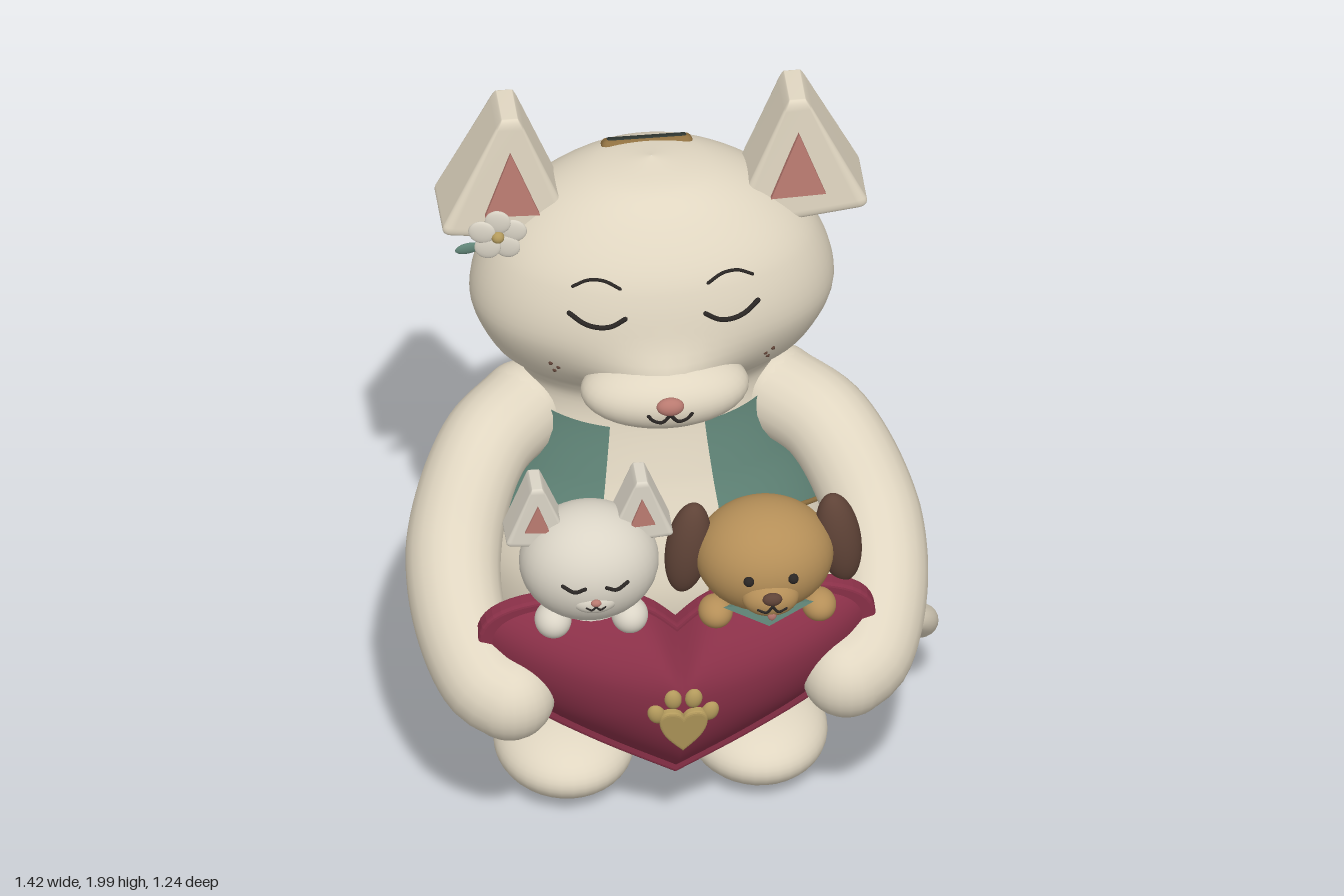
import * as THREE from 'three';
import { mergeVertices } from 'three/addons/utils/BufferGeometryUtils.js';
import { RoundedBoxGeometry } from 'three/addons/geometries/RoundedBoxGeometry.js';
import { ParametricGeometry } from 'three/addons/geometries/ParametricGeometry.js';

const CX = -0.033; // symmetry axis of the big figure
const mat = (color, side = THREE.FrontSide) => new THREE.MeshStandardMaterial({ color, side });
const CREAM = mat(0xe0d6c1), WHITE = mat(0xdad4c6), PINK = mat(0xb97a70), DARK = mat(0x2a2624);
const TEAL = mat(0x5f8376, THREE.DoubleSide), GOLD = mat(0xb39a5c), TRIM = mat(0x8f7040);
const RED = mat(0x8a3048), TAN = mat(0xb58f58), BROWN = mat(0x5f4337), SLOT = mat(0x323a34);
const V = (p) => new THREE.Vector3(...p);
const lerp = THREE.MathUtils.lerp;

function add(parent, name, geometry, material, pos = [0, 0, 0], rot = [0, 0, 0]) {
  const m = new THREE.Mesh(geometry, material);
  m.name = name;
  m.position.set(...pos);
  m.rotation.set(...rot);
  parent.add(m);
  return m;
}
function ball(parent, name, material, pos, r, rot, n = 24) {
  const [a, b, c] = Array.isArray(r) ? r : [r, r, r];
  return add(parent, name, new THREE.SphereGeometry(1, n * 1.5, n).scale(a, b, c), material, pos, rot);
}
// tube through points whose radius follows a list, with round ends
function limb(parent, name, material, pts, radii, seg = 40, sides = 20) {
  const curve = new THREE.CatmullRomCurve3(pts.map(V));
  const geo = new THREE.TubeGeometry(curve, seg, 1, sides);
  const p = geo.attributes.position, v = new THREE.Vector3();
  const radius = (t) => {
    const k = t * (radii.length - 1), i = Math.min(Math.floor(k), radii.length - 2);
    return i < 0 ? radii[0] : lerp(radii[i], radii[i + 1], k - i);
  };
  for (let i = 0; i < p.count; i++) {
    const t = Math.floor(i / (sides + 1)) / seg, c = curve.getPointAt(t);
    v.fromBufferAttribute(p, i).sub(c).multiplyScalar(radius(t)).add(c);
    p.setXYZ(i, v.x, v.y, v.z);
  }
  add(parent, name, geo, material);
  for (const t of [0, 1]) ball(parent, name + 'End', material, curve.getPointAt(t).toArray(), radius(t), [0, 0, 0], sides > 8 ? 16 : 6);
}
const line = (parent, name, material, pts, r) => limb(parent, name, material, pts, [r], 20, 8);

// body and head sections: y, half width, front z, back z
const SECTIONS = [
  [0.095, 0.0005, -0.1995, -0.2005], [0.115, 0.16, -0.08, -0.33], [0.2, 0.32, 0.01, -0.47], [0.35, 0.44, 0.095, -0.565],
  [0.55, 0.482, 0.135, -0.6], [0.7, 0.462, 0.11, -0.56], [0.9, 0.382, 0.03, -0.48], [1.08, 0.33, -0.015, -0.415],
  [1.17, 0.348, 0.01, -0.395], [1.27, 0.42, 0.11, -0.42], [1.42, 0.475, 0.185, -0.465], [1.58, 0.435, 0.16, -0.435],
  [1.7, 0.33, 0.085, -0.375], [1.78, 0.18, -0.01, -0.29], [1.81, 0.0005, -0.1495, -0.1505]];
const frontCurve = new THREE.CatmullRomCurve3(SECTIONS.map(([y, r, f]) => V([r, y, f])), false, 'catmullrom');
const backCurve = new THREE.CatmullRomCurve3(SECTIONS.map(([y, r, , b]) => V([r, y, b])), false, 'catmullrom');
function section(t) {
  const f = frontCurve.getPoint(t), b = backCurve.getPoint(t);
  return { y: f.y, rx: f.x, zc: (f.z + b.z) / 2, rz: (f.z - b.z) / 2 };
}
function sectionAt(y) {
  let a = 0, b = 1;
  for (let i = 0; i < 40; i++) { const m = (a + b) / 2; if (frontCurve.getPoint(m).y < y) a = m; else b = m; }
  return section(a);
}
// z of the body surface at x, y (dir 1 front, -1 back)
function surfaceZ(x, y, dir = 1, off = 0) {
  const s = sectionAt(y);
  return s.zc + dir * (s.rz + off) * Math.sqrt(Math.max(0, 1 - ((x - CX) / s.rx) ** 2));
}
const ellipsoidZ = ([cx, cy, cz], [a, b, c]) => (x, y) => cz + c * Math.sqrt(Math.max(0, 1 - ((x - cx) / a) ** 2 - ((y - cy) / b) ** 2));

// tapered block ear with a pink inlay; x values are distances from the axis
function ear(parent, material, axis, side, e) {
  const geo = new RoundedBoxGeometry(1, 1, 1, 4, 0.08);
  geo.deleteAttribute('normal');
  geo.deleteAttribute('uv');
  const g = mergeVertices(geo, 1e-4), p = g.attributes.position;
  for (let i = 0; i < p.count; i++) {
    const u = 0.5 + side * p.getX(i), t = p.getY(i) + 0.5; // u: inner 0, outer 1
    const x = lerp(lerp(e.inner[0], e.outer[0], u), lerp(e.tip[0], e.tip[1], u), t);
    const y = lerp(lerp(e.inner[1], e.outer[1], u), e.tip[2], t);
    p.setXYZ(i, axis + side * x, y, e.z + p.getZ(i) * e.depth * lerp(lerp(e.innerDepth, 1, u), e.taper, t));
  }
  g.computeVertexNormals();
  add(parent, 'ear', g, material);
  const [x0, y0] = e.inlay[0];
  const tri = new THREE.Shape(e.inlay.map(([x, y]) => new THREE.Vector2(side * (x - x0), y - y0)));
  const inlay = new THREE.ExtrudeGeometry(tri, { depth: 0.014, bevelEnabled: false });
  const tilt = Math.atan2(e.depth * (1 - e.taper) / 2, e.tip[2] - e.outer[1]);
  const front = e.z + e.depth / 2 - Math.tan(tilt) * (y0 - e.outer[1]);
  add(parent, 'innerEar', inlay, PINK, [axis + side * x0, y0, front - 0.008], [-tilt, 0, 0]);
}
// heart outline: right half from the notch to the point, then mirrored
const HALF = [[0, 0.135], [0.09, 0.215], [0.22, 0.25], [0.38, 0.25], [0.485, 0.212], [0.52, 0.14], [0.487, 0.03], [0.38, -0.1], [0.2, -0.23], [0, -0.35]];
const halfHeart = new THREE.SplineCurve(HALF.map(([x, y]) => new THREE.Vector2(x, y)));
function heartPoint(u, k) { // u 0..1 counter-clockwise from the notch
  const p = halfHeart.getPoint(u < 0.5 ? u * 2 : 2 - u * 2);
  return new THREE.Vector2(k * p.x * (u < 0.5 ? -1 : 1), k * p.y);
}
const heartShape = (k) => new THREE.Shape(Array.from({ length: 72 }, (_, i) => heartPoint(i / 72, k)));

function addVest(root) {
  const gap = 0.36;
  const hem = (a) => 0.665 + 0.135 * Math.cos(a);
  const point = (a, y, off, out) => {
    const s = sectionAt(y);
    return out.set(CX + (s.rx + off) * Math.sin(a), y, s.zc + (s.rz + off) * Math.cos(a));
  };
  const angle = (u) => lerp(gap, Math.PI * 2 - gap, u);
  add(root, 'vest', new ParametricGeometry((u, v, out) => {
    const a = angle(u);
    point(a, lerp(hem(a), 1.105 - 0.06 * Math.cos(a), v), 0.016, out);
  }, 72, 20), TEAL);
  const edge = Array.from({ length: 33 }, (_, i) => point(angle(i / 32), hem(angle(i / 32)), 0.016, new THREE.Vector3()).toArray());
  limb(root, 'vestHem', TRIM, edge, [0.007], 96, 8);
  // embroidered branch on the back
  const twigs = [[[-0.06, 0.66], [-0.03, 0.74], [-0.035, 0.82], [-0.07, 0.91]], [[-0.03, 0.74], [0.02, 0.78], [0.035, 0.87]],
    [[-0.035, 0.79], [-0.09, 0.82], [-0.105, 0.87]], [[0.005, 0.765], [0.04, 0.77], [0.06, 0.79]]];
  for (const t of twigs) line(root, 'branch', TRIM, t.map(([x, y]) => [x, y, surfaceZ(x, y, -1, 0.018)]), 0.007);
}

function addFace(root) {
  ball(root, 'muzzle', CREAM, [CX, 1.29, 0.155], [0.22, 0.098, 0.13]);
  ball(root, 'nose', PINK, [CX, 1.315, 0.282], [0.036, 0.025, 0.022]);
  for (const s of [-1, 1]) {
    const on = (pts, x0, y0) => pts.map(([x, y]) => [CX + s * (x0 + x), y0 + y, surfaceZ(CX + s * (x0 + x), y0 + y) + 0.004]);
    line(root, 'closedEye', DARK, on([[-0.07, 0.018], [-0.035, -0.004], [0, -0.01], [0.035, -0.003], [0.072, 0.02]], 0.175, 1.508), 0.0065);
    line(root, 'brow', DARK, on([[-0.06, -0.004], [-0.02, 0.012], [0.02, 0.01], [0.06, -0.01]], 0.175, 1.607), 0.0045);
    line(root, 'mouth', DARK, [[CX, 1.29, 0.283], [CX + s * 0.022, 1.266, 0.279], [CX + s * 0.045, 1.274, 0.278], [CX + s * 0.056, 1.287, 0.278]], 0.006);
    for (const p of on([[0, 0], [0.02, 0.012], [0.008, -0.022]], 0.27, 1.33)) ball(root, 'freckle', BROWN, p, 0.006, [0, 0, 0], 8);
    ear(root, CREAM, CX, s, { outer: [0.565, 1.665], inner: [0.19, 1.6], tip: [0.352, 0.4, 2], z: -0.157, depth: 0.215, innerDepth: 0.78, taper: 0.7,
      inlay: [[0.445, 1.72], [0.302, 1.715], [0.377, 1.905]] });
  }
  // coin slot on the crown
  const slot = new THREE.Group();
  slot.name = 'coinSlot';
  slot.position.set(CX, 1.775, -0.25);
  slot.rotation.x = -0.4;
  add(slot, 'slotRim', new RoundedBoxGeometry(0.24, 0.04, 0.058, 4, 0.019), TRIM);
  add(slot, 'slotOpening', new RoundedBoxGeometry(0.22, 0.042, 0.044, 4, 0.012), SLOT);
  root.add(slot);
  // flower by the right ear
  const flower = new THREE.Group();
  flower.name = 'flower';
  flower.position.set(-0.45, 1.685, -0.02);
  for (let i = 0; i < 5; i++) {
    const a = (i / 5) * Math.PI * 2 + 0.3;
    ball(flower, 'petal', WHITE, [0.043 * Math.cos(a), 0.043 * Math.sin(a), 0.005], [0.036, 0.034, 0.009], [0, -0.2, a], 12);
  }
  ball(flower, 'flowerCentre', GOLD, [0, 0, 0.012], 0.017, [0, 0, 0], 12);
  ball(flower, 'leaf', TEAL, [-0.075, -0.045, -0.01], [0.035, 0.016, 0.008], [0, 0, 0.2], 12);
  root.add(flower);
}

function addHeart(root) {
  const heart = new THREE.Group();
  heart.name = 'heartPillow';
  heart.position.set(CX, 0.58, 0.402);
  heart.rotation.x = 0.07;
  add(heart, 'heartRim', new THREE.ExtrudeGeometry(heartShape(0.98), { depth: 0.03, bevelSize: 0.01, bevelThickness: 0.01, bevelSegments: 3 }), RED, [0, 0, -0.015]);
  const puff = new ParametricGeometry((u, v, out) => {
    const s = lerp(1, 0.005, v), p = heartPoint(u, 0.96 * s);
    out.set(p.x, p.y, 0.01 + 0.163 * (1 - s ** 2.3) ** 0.9);
  }, 96, 24);
  puff.computeVertexNormals();
  add(heart, 'heartFront', puff, RED);
  // paw emblem
  add(heart, 'pawPad', new THREE.ExtrudeGeometry(heartShape(0.11), { depth: 0.02, bevelSize: 0.006, bevelThickness: 0.006 }), GOLD, [0, -0.07, 0.16], [0.1, 0, 0]).scale.y = 1.8;
  for (const [x, y] of [[-0.07, -0.025], [-0.027, 0.02], [0.027, 0.02], [0.07, -0.025]])
    ball(heart, 'pawToe', GOLD, [x, y, 0.17], [0.023, 0.03, 0.018], [0, 0, -x * 4], 12);
  root.add(heart);
}

function addKitten(root) {
  const g = new THREE.Group();
  g.name = 'kitten';
  const c = [-0.262, 0.945, 0.42], r = [0.182, 0.158, 0.16], z = ellipsoidZ(c, r);
  ball(g, 'kittenHead', WHITE, c, r);
  ball(g, 'kittenBody', WHITE, [-0.262, 0.76, 0.38], [0.13, 0.14, 0.1]);
  ball(g, 'kittenMuzzle', WHITE, [c[0], 0.908, 0.55], [0.06, 0.034, 0.034]);
  ball(g, 'kittenNose', PINK, [c[0], 0.922, 0.584], [0.014, 0.01, 0.01], [0, 0, 0], 10);
  for (const s of [-1, 1]) {
    const eye = [[0.028, 0.966], [0.055, 0.955], [0.085, 0.968]].map(([x, y]) => [c[0] + s * x, y, z(c[0] + s * x, y) + 0.003]);
    line(g, 'kittenEye', DARK, eye, 0.005);
    line(g, 'kittenMouth', DARK, [[c[0], 0.91, 0.584], [c[0] + s * 0.011, 0.9, 0.583], [c[0] + s * 0.024, 0.906, 0.58]], 0.003);
    ear(g, WHITE, c[0], s, { outer: [0.222, 1.02], inner: [0.04, 1.0], tip: [0.122, 0.152, 1.195], z: 0.395, depth: 0.105, innerDepth: 0.9, taper: 0.95,
      inlay: [[0.17, 1.065], [0.105, 1.06], [0.136, 1.145]] });
    ball(g, 'kittenPaw', WHITE, [c[0] + s * 0.1, 0.8, 0.475], [0.048, 0.047, 0.055]);
  }
  root.add(g);
}

function addPuppy(root) {
  const g = new THREE.Group();
  g.name = 'puppy';
  const x0 = 0.197, c = [x0, 0.925, 0.415], r = [0.18, 0.148, 0.162], z = ellipsoidZ(c, r);
  ball(g, 'puppyHead', TAN, c, r);
  ball(g, 'puppyBody', TAN, [x0, 0.77, 0.37], [0.14, 0.15, 0.11]);
  ball(g, 'puppyMuzzle', TAN, [x0, 0.882, 0.55], [0.075, 0.052, 0.052]);
  ball(g, 'puppyNose', BROWN, [x0, 0.905, 0.597], [0.026, 0.018, 0.016], [0, 0, 0], 14);
  ball(g, 'tongue', PINK, [x0, 0.848, 0.588], [0.012, 0.016, 0.008], [0, 0, 0], 10);
  const scarf = new THREE.Shape([[-0.12, 0], [0, -0.06], [0.12, 0]].map(([x, y]) => new THREE.Vector2(x, y)));
  add(g, 'scarf', new THREE.ExtrudeGeometry(scarf, { depth: 0.02, bevelEnabled: false }), TEAL, [x0, 0.82, 0.49], [-0.3, 0, 0]);
  for (const s of [-1, 1]) {
    ball(g, 'puppyEye', DARK, [x0 + s * 0.058, 0.945, z(x0 + s * 0.058, 0.945)], 0.014, [0, 0, 0], 12);
    line(g, 'puppyMouth', DARK, [[x0, 0.886, 0.603], [x0 + s * 0.016, 0.866, 0.599], [x0 + s * 0.036, 0.872, 0.594]], 0.004);
    ball(g, 'puppyEar', BROWN, [x0 + s * 0.197, 0.94, 0.39], [0.058, 0.138, 0.052], [0, 0, s * 0.14]);
    ball(g, 'puppyPaw', TAN, [x0 + s * 0.135, 0.795, 0.48], [0.045, 0.042, 0.052]);
  }
  root.add(g);
}

export function createModel() {
  const root = new THREE.Group();
  root.name = 'huggingFigure';
  add(root, 'bodyAndHead', new ParametricGeometry((u, v, out) => {
    const s = section(v), a = u * Math.PI * 2, x = s.rx * Math.sin(a);
    // soft swell where the muzzle meets the face
    const swell = Math.cos(a) > 0 ? 0.075 * Math.exp(-((x / 0.17) ** 2) - ((s.y - 1.325) / 0.085) ** 2) : 0;
    out.set(CX + x, s.y, s.zc + s.rz * Math.cos(a) + swell);
  }, 64, 84), CREAM);
  for (const s of [-1, 1]) {
    const arm = [[0.33, 1.02, -0.17], [0.45, 0.98, -0.05], [0.545, 0.82, 0.12], [0.55, 0.68, 0.29], [0.495, 0.575, 0.42], [0.44, 0.55, 0.455]];
    limb(root, 'arm', CREAM, arm.map(([x, y, z]) => [CX + s * x, y, z]), [0.12, 0.122, 0.125, 0.12, 0.118]);
    ball(root, 'foot', CREAM, [CX + s * 0.252, 0.107, 0.06], [0.183, 0.101, 0.225]);
    ball(root, 'ankle', CREAM, [CX + s * 0.215, 0.165, -0.085], [0.105, 0.09, 0.1]);
  }
  limb(root, 'tail', CREAM, [[0.3, 0.31, -0.33], [0.43, 0.22, -0.33], [0.56, 0.19, -0.28], [0.648, 0.245, -0.17], [0.665, 0.32, -0.06],
    [0.615, 0.385, 0.03], [0.54, 0.385, 0.09]], [0.085, 0.075, 0.065, 0.055, 0.045, 0.032, 0.02]);
  addVest(root);
  addFace(root);
  addHeart(root);
  addKitten(root);
  addPuppy(root);
  return root;
}
